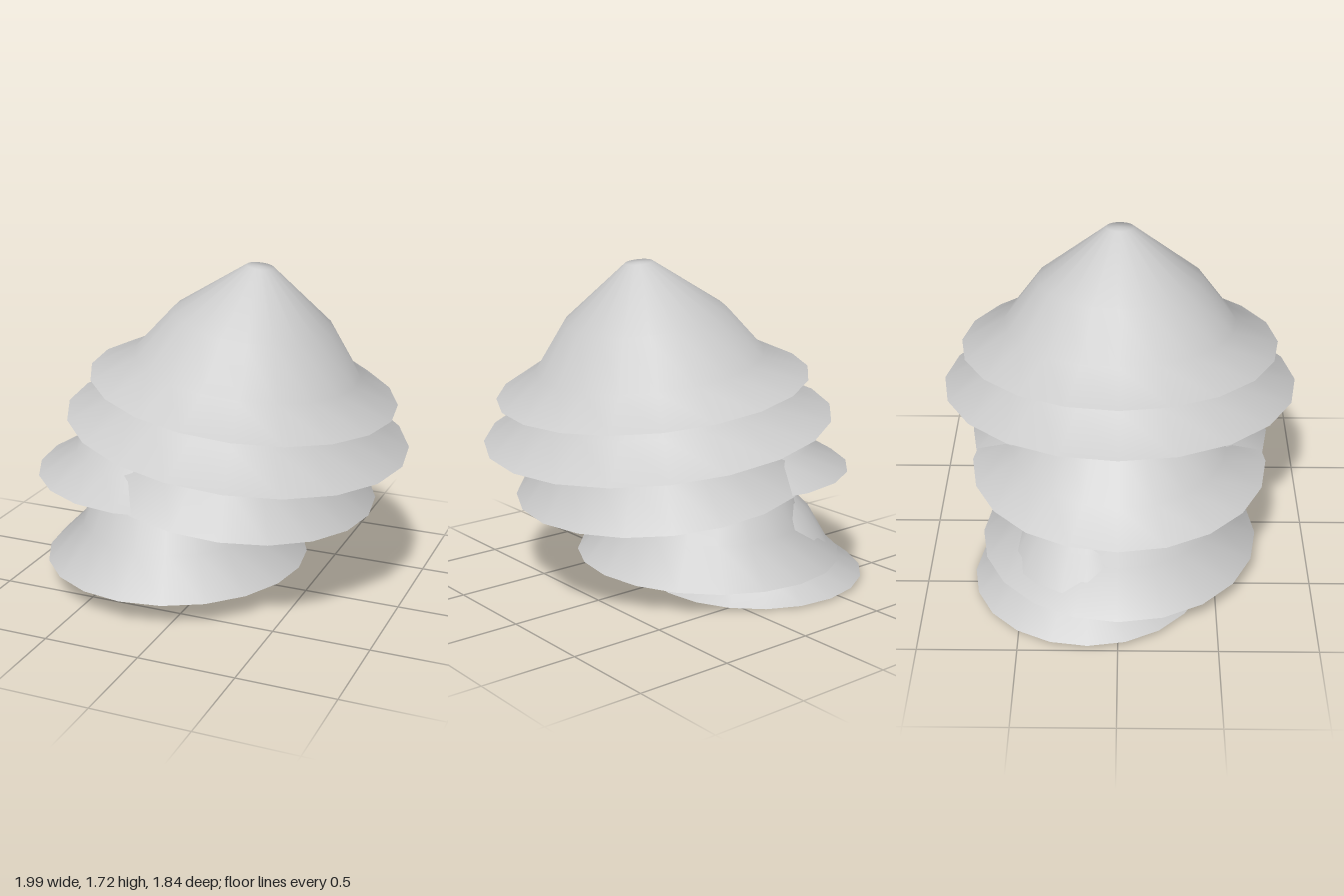
import * as THREE from 'three';

const material = new THREE.MeshStandardMaterial({ color: 0xcccccc, side: THREE.DoubleSide });

// Flared skirt profile for a rim radius of 1: rim, two waists, small flat tip
const PROFILE = [[1, 0], [0.73, 0.152], [0.518, 0.433], [0.087, 0.762], [0, 0.762]];
const SIDES = 20;
const SQUASH = 0.957; // the skirts are slightly narrower across than deep

// Open bell-shaped layer of foliage; position is the centre of its rim
function skirt({ name, position, radius, stretch = 1, lean = 0, pitch = 0 }) {
  const points = PROFILE.map(([r, h]) => new THREE.Vector2(r * radius, h * radius * stretch));
  const geometry = new THREE.LatheGeometry(points, SIDES);
  geometry.scale(SQUASH, 1, 1);
  const mesh = new THREE.Mesh(geometry, material);
  mesh.name = name;
  mesh.position.set(...position);
  mesh.rotation.set(pitch, 0, -lean);
  return mesh;
}

export function createModel() {
  const tree = new THREE.Group();
  tree.name = 'layeredTree';

  const layers = [
    // Base layers, the lowest one shifted to the back
    { name: 'bottomSkirt', position: [-0.42, 0.02, -0.15], radius: 0.605, stretch: 1.33, lean: 0.026, pitch: -0.008 },
    { name: 'lowerSkirt', position: [-0.235, 0.13, 0], radius: 0.725, stretch: 1.7 },
    // Two overlapping middle layers
    { name: 'middleSideSkirt', position: [-0.24, 0.615, 0], radius: 0.755 },
    { name: 'middleSkirt', position: [0.08, 0.58, 0], radius: 0.785, stretch: 1.62, lean: 0.126 },
    // Leaning crown
    { name: 'upperSkirt', position: [0.115, 0.885, 0], radius: 0.92, lean: 0.13 },
    { name: 'topSkirt', position: [0.145, 1.1, 0], radius: 0.82, lean: 0.128 },
  ];
  for (const layer of layers) tree.add(skirt(layer));

  return tree;
}
